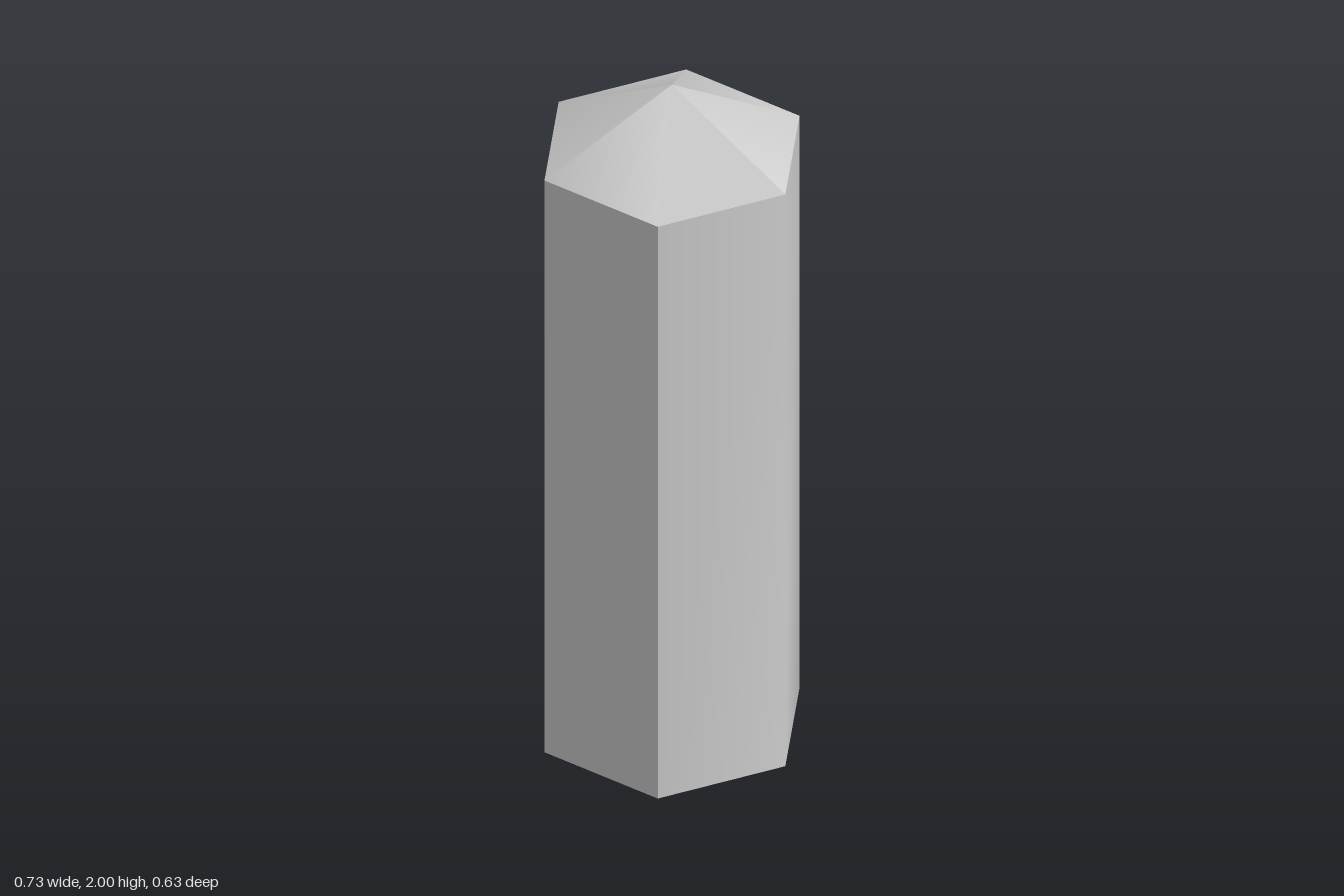
import * as THREE from 'three';

const RADIUS = 0.363;
const BODY_HEIGHT = 1.8;
const TIP_HEIGHT = 0.2;
const SIDES = 6;
const STEP = (Math.PI * 2) / SIDES;

export function createModel() {
  const group = new THREE.Group();
  const solid = new THREE.MeshStandardMaterial({ color: 0xcccccc });
  const thin = new THREE.MeshStandardMaterial({ color: 0xcccccc, side: THREE.DoubleSide });

  const add = (name, geometry, material, y) => {
    const mesh = new THREE.Mesh(geometry, material);
    mesh.name = name;
    mesh.position.y = y;
    group.add(mesh);
    return mesh;
  };

  // Hexagonal column, smooth around except for the seam at its front left corner
  const column = new THREE.CylinderGeometry(RADIUS, RADIUS, BODY_HEIGHT, SIDES, 1, true, STEP / 2);
  column.computeVertexNormals();
  add('column', column, solid, BODY_HEIGHT / 2);

  // Flat ends of the column
  add('columnTop', new THREE.CircleGeometry(RADIUS, SIDES), solid, BODY_HEIGHT).rotation.x = -Math.PI / 2;
  add('columnBase', new THREE.CircleGeometry(RADIUS, SIDES), solid, 0).rotation.x = Math.PI / 2;

  // Hollow pointed tip with one of its six facets left open
  const tip = new THREE.ConeGeometry(RADIUS, TIP_HEIGHT, SIDES - 1, 1, true, STEP * 1.5, STEP * (SIDES - 1));
  add('pointedTip', tip, thin, BODY_HEIGHT + TIP_HEIGHT / 2);

  return group;
}
